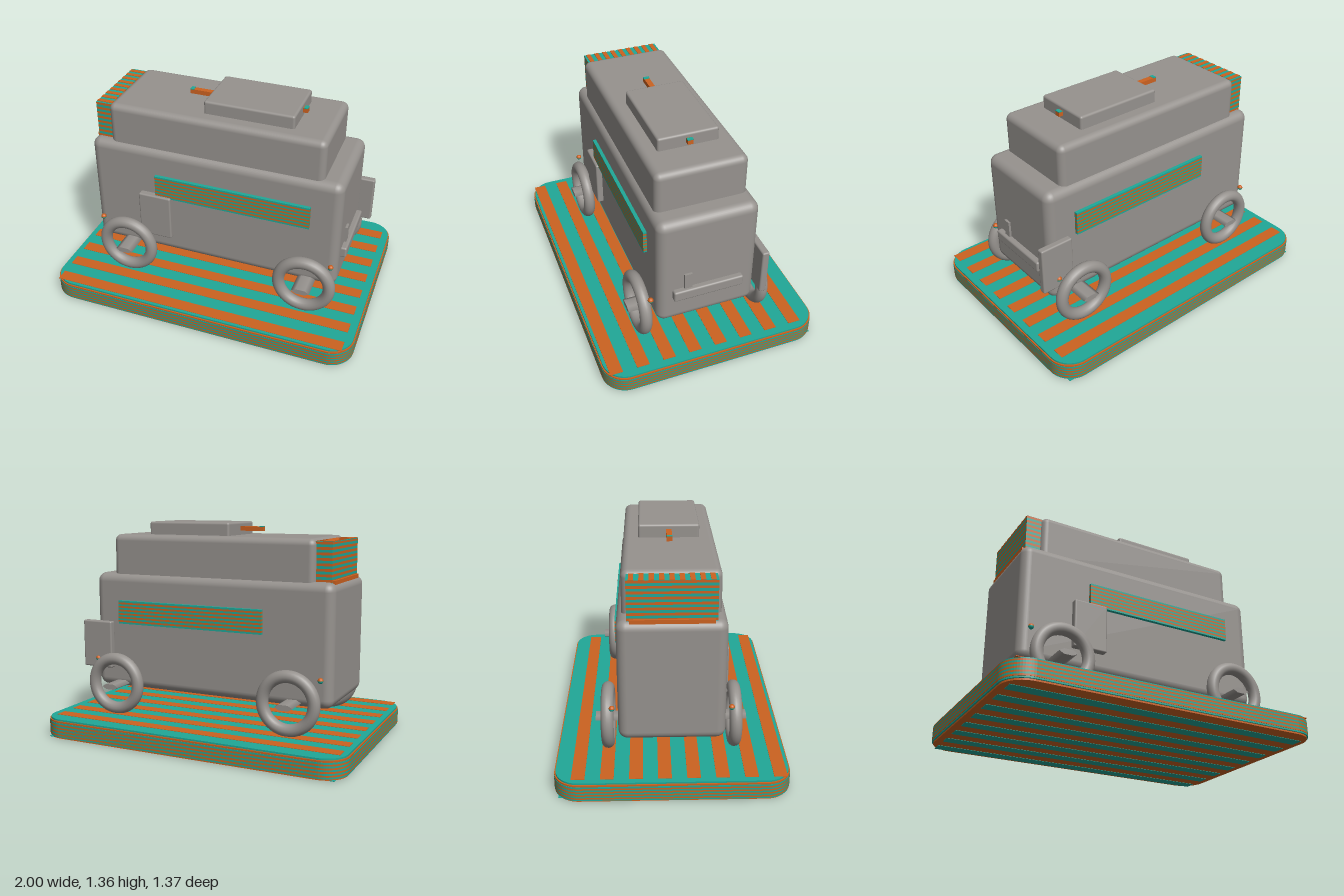
import * as THREE from 'three';
import { RoundedBoxGeometry } from 'three/addons/geometries/RoundedBoxGeometry.js';

const material = (name, color) => {
  const m = new THREE.MeshStandardMaterial({ color });
  m.name = name;
  return m;
};

export function createModel() {
  const grey = material('warm grey', 0x96928e);
  const teal = material('teal', 0x20a898);
  const orange = material('orange', 0xcc6220);
  const model = new THREE.Group();
  model.name = 'wagonOnBase';

  const add = (name, geometry, mat, x = 0, y = 0, z = 0, parent = model) => {
    const mesh = new THREE.Mesh(geometry, mat);
    mesh.name = name;
    mesh.position.set(x, y, z);
    parent.add(mesh);
    return mesh;
  };
  const group = (name) => {
    const g = new THREE.Group();
    g.name = name;
    model.add(g);
    return g;
  };
  // Boxes are given by their limits on each axis
  const box = (name, [x0, x1], [y0, y1], [z0, z1], mat, radius = 0, parent = model) => {
    const size = [x1 - x0, y1 - y0, z1 - z0];
    const geometry = radius
      ? new RoundedBoxGeometry(...size, 4, radius)
      : new THREE.BoxGeometry(...size);
    return add(name, geometry, mat, (x0 + x1) / 2, (y0 + y1) / 2, (z0 + z1) / 2, parent);
  };
  // A block made of thin horizontal layers in alternating colours
  const layeredBox = (name, xs, [y0, y1], zs, count) => {
    const g = group(name);
    const step = (y1 - y0) / count;
    for (let i = 0; i < count; i++) {
      box('layer', xs, [y0 + i * step, y0 + (i + 1) * step], zs, i % 2 ? orange : teal, 0, g);
    }
    return g;
  };

  // Base: layered slab with rounded corners and a softened rim
  const base = group('base');
  const slab = (inset) => {
    const w = 1 - inset, d = 0.685 - inset, r = 0.15 - inset;
    const s = new THREE.Shape();
    s.absarc(w - r, d - r, r, 0, Math.PI / 2);
    s.absarc(r - w, d - r, r, Math.PI / 2, Math.PI);
    s.absarc(r - w, r - d, r, Math.PI, Math.PI * 1.5);
    s.absarc(w - r, r - d, r, Math.PI * 1.5, Math.PI * 2);
    return s;
  };
  const layers = 12, baseTop = 0.124, thick = baseTop / layers, soft = 0.025;
  for (let i = 0; i < layers; i++) {
    const toEdge = Math.min(i + 0.5, layers - i - 0.5) * thick;
    const k = Math.max(0, soft - toEdge);
    const inset = soft - Math.sqrt(soft * soft - k * k);
    const geometry = new THREE.ExtrudeGeometry(slab(inset), {
      depth: thick, bevelEnabled: false, curveSegments: 8,
    });
    geometry.rotateX(-Math.PI / 2);
    add('baseLayer', geometry, i % 2 ? teal : orange, 0, i * thick, 0, base);
  }
  // Long stripes on the top and underside of the base
  for (let i = 0; i < 8; i++) {
    const z = -0.541 + i * 0.1655;
    box('topStripe', [-0.955, 0.945], [baseTop - 0.002, baseTop + 0.002],
      [z - 0.039, z + 0.039], orange, 0, base);
    box('undersideStripe', [-0.95, 0.95], [0, 0.004], [-z - 0.039, -z + 0.039], teal, 0, base)
      .position.y = 0;
  }

  // Body, upper body and roof hatch
  box('body', [-0.812, 0.806], [0.284, 1.028], [-0.31, 0.31], grey, 0.055);
  box('upperBody', [-0.685, 0.682], [0.95, 1.276], [-0.28, 0.28], grey, 0.04);
  box('roofHatch', [-0.095, 0.465], [1.25, 1.357], [-0.186, 0.186], grey, 0.014);

  // Bar passing through the roof hatch, with contrasting tips
  box('roofBar', [-0.25, 0.495], [1.302, 1.33], [-0.017, 0.017], orange);
  for (const x of [-0.238, 0.483]) {
    box('roofBarTip', [x - 0.012, x + 0.012], [1.328, 1.333], [-0.018, 0.018], teal);
  }

  // Striped block on the end of the upper body
  layeredBox('endBlock', [-0.78, -0.66], [1.01, 1.26], [-0.25, 0.25], 16);
  box('endBlockTop', [-0.78, -0.68], [1.256, 1.261], [-0.25, 0.25], teal);
  for (let i = 0; i < 9; i++) {
    const z = -0.222 + i * 0.0555;
    box('endBlockStripe', [-0.78, -0.68], [1.26, 1.264], [z - 0.014, z + 0.014], orange);
  }
  box('endLedge', [-0.795, -0.75], [1.0, 1.037], [-0.235, 0.235], orange);

  // Striped panels along both sides
  for (const side of [-1, 1]) {
    const zs = side > 0 ? [0.29, 0.332] : [-0.332, -0.29];
    layeredBox('sidePanel', [-0.375, 0.622], [0.706, 0.855], zs, 13);
  }

  // Doors, one on each side
  box('frontDoor', [-0.485, -0.27], [0.41, 0.715], [0.3, 0.349], grey, 0.01);
  box('backDoor', [0.672, 0.886], [0.41, 0.715], [-0.349, -0.305], grey, 0.01);

  // Bumper step and its upright
  box('bumper', [0.78, 0.84], [0.464, 0.535], [-0.217, 0.22], grey, 0.012);
  box('bumperPost', [0.78, 0.82], [0.47, 0.64], [0.103, 0.15], grey);

  // Wheels on flattened axles
  for (const x of [-0.567, 0.622]) {
    const axle = add('axle', new THREE.CylinderGeometry(0.057, 0.057, 0.9, 6), grey, x, 0.311, 0);
    axle.geometry.rotateX(Math.PI / 2).rotateZ(Math.PI / 2).scale(1, 0.34, 1);
    axle.material = grey;
    for (const z of [-0.376, 0.376]) {
      add('wheel', new THREE.TorusGeometry(0.162, 0.038, 16, 48), grey, x, 0.32, z);
    }
  }

  // Small two-coloured studs above the wheels
  for (const x of [-0.755, 0.776]) {
    for (const z of [-0.345, 0.345]) {
      add('studTop', new THREE.SphereGeometry(0.017, 16, 6, 0, Math.PI * 2, 0, Math.PI / 2),
        orange, x, 0.468, z);
      add('studBottom', new THREE.SphereGeometry(0.017, 16, 6, 0, Math.PI * 2, Math.PI / 2, Math.PI / 2),
        teal, x, 0.468, z);
    }
  }
  return model;
}
